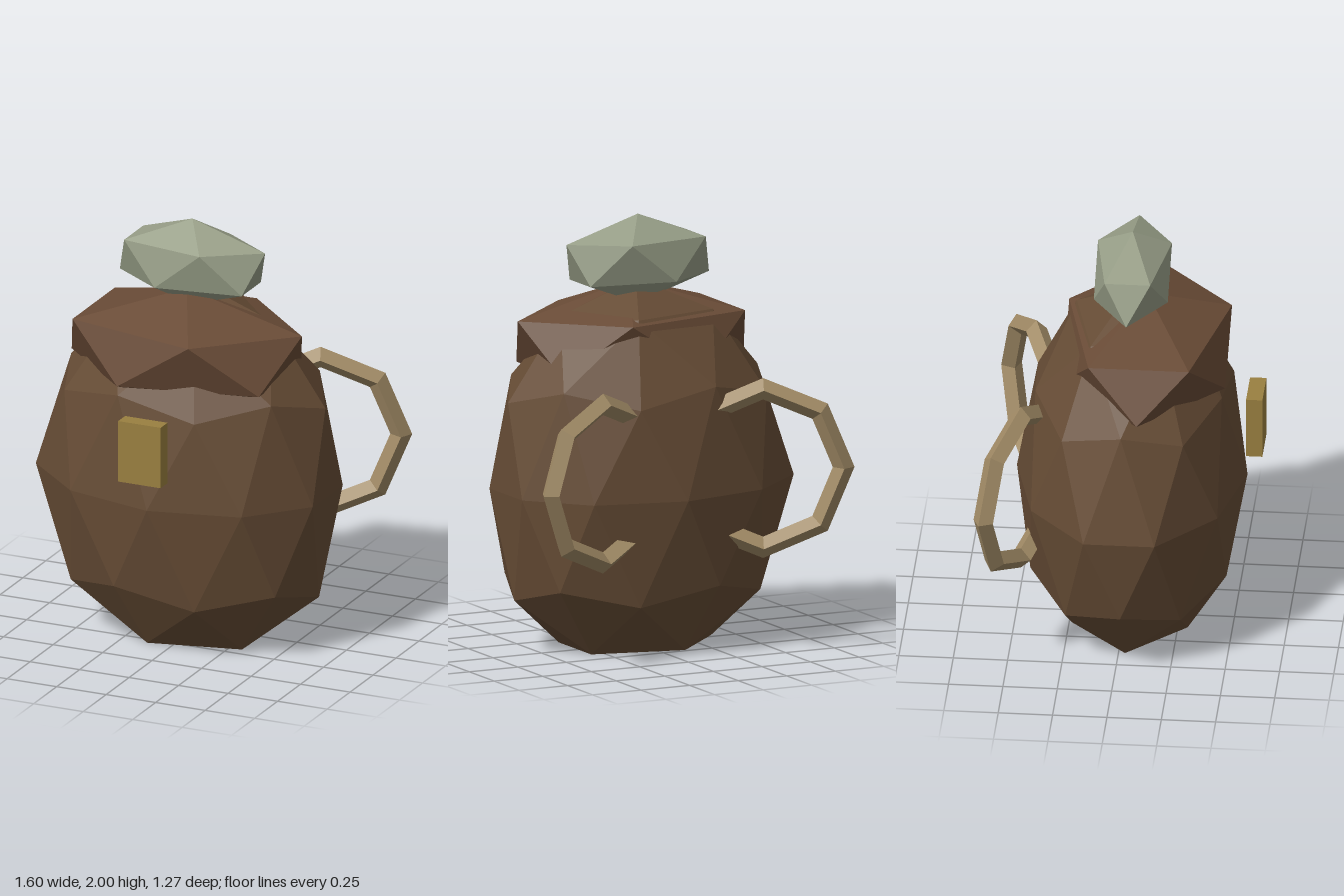
import * as THREE from 'three';

const mat = (name, color) => {
  const m = new THREE.MeshStandardMaterial({ color });
  m.name = name;
  return m;
};

// Faceted ball with a vertex on each y pole, scaled and placed
function facetedBall(detail, scale, centre) {
  const g = new THREE.IcosahedronGeometry(1, detail);
  g.rotateX(-Math.atan((1 + Math.sqrt(5)) / 2));
  g.rotateY(Math.PI / 2);
  g.scale(...scale);
  g.translate(...centre);
  g.computeVertexNormals();
  return g;
}

export function createModel() {
  const model = new THREE.Group();
  const leather = mat('brownLeather', 0x664c35);
  const flapLeather = mat('flapLeather', 0x694b36);
  const webbing = mat('tanWebbing', 0xa08a65);
  const blanket = mat('sageBlanket', 0x979e87);
  const brass = mat('brass', 0x9a8040);
  webbing.side = THREE.DoubleSide;

  const add = (name, geometry, material) => {
    const mesh = new THREE.Mesh(geometry, material);
    mesh.name = name;
    model.add(mesh);
    return mesh;
  };

  // Bag body: flattened at the base, its waist leaning slightly to one side
  const body = facetedBall(1, [0.735, 0.95, 0.53], [0, 0.75, 0.03]);
  const p = body.attributes.position;
  for (let i = 0; i < p.count; i++) {
    const waist = Math.abs(p.getY(i) - 0.75) < 0.05 && Math.abs(p.getX(i)) > 0.6;
    if (waist) p.setX(i, p.getX(i) - 0.03);
    p.setY(i, Math.max(0, p.getY(i)));
  }
  body.computeVertexNormals();
  add('bagBody', body, leather);

  // Top flap and bedroll
  add('topFlap', facetedBall(0, [0.65, 0.265, 0.44], [-0.01, 1.418, 0.1]), flapLeather);
  add('bedroll', facetedBall(0, [0.41, 0.207, 0.2], [-0.012, 1.793, 0.034]), blanket);

  // Front buckle
  const buckle = add('buckle', new THREE.BoxGeometry(0.214, 0.295, 0.075), brass);
  buckle.position.set(0, 1.05, 0.6);

  // Shoulder straps: square-section loops splayed out from the back
  const strap = new THREE.TorusGeometry(0.37, 0.05, 4, 6, Math.PI * 1.5).toNonIndexed();
  strap.rotateZ(-Math.PI * 0.75);
  strap.computeVertexNormals();
  for (const side of [1, -1]) {
    const mesh = add(side > 0 ? 'leftStrap' : 'rightStrap', strap, webbing);
    mesh.position.set(side * 0.412, 0.86, -0.446);
    mesh.rotation.y = side > 0 ? 0.4 : Math.PI - 0.4;
  }
  return model;
}
